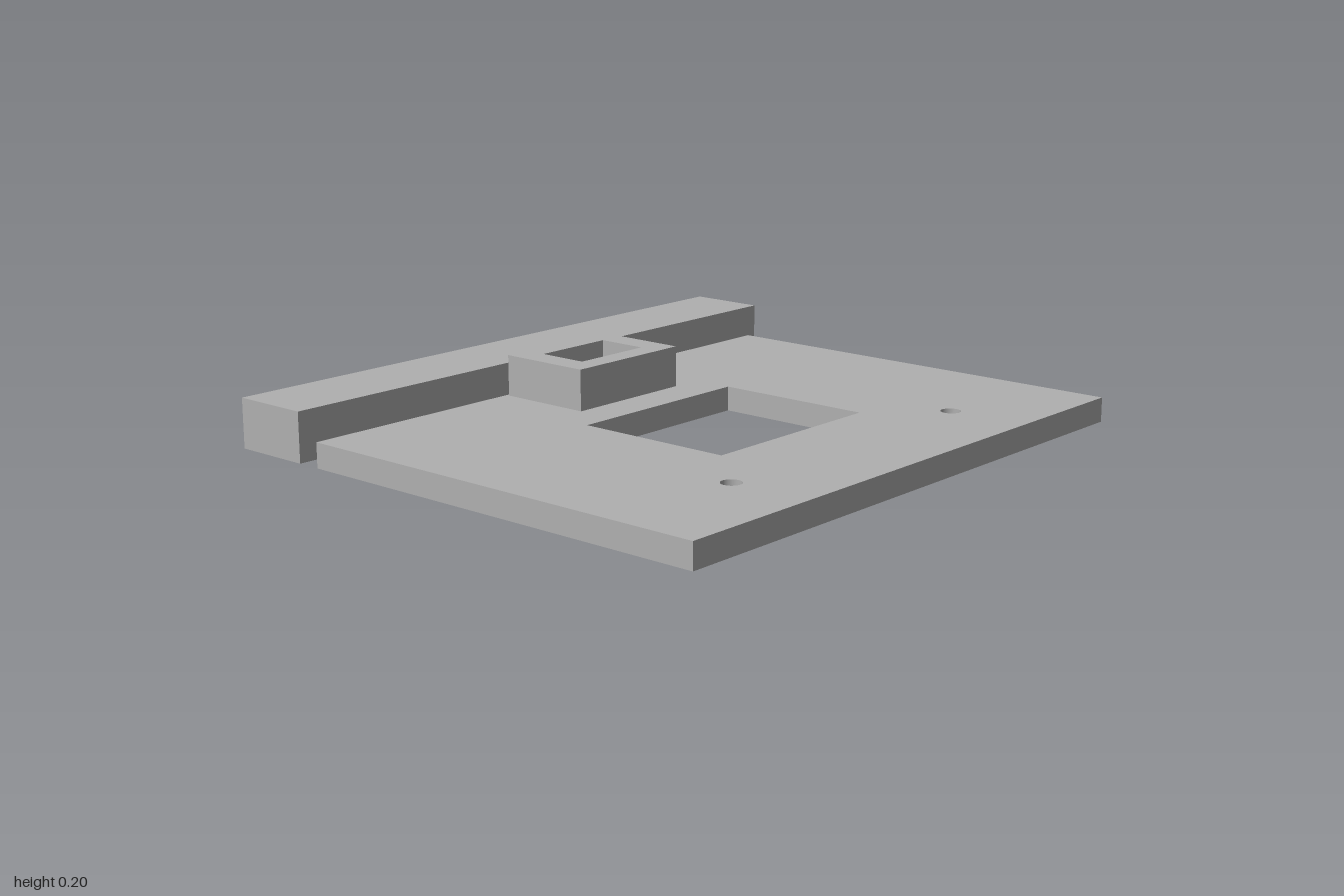
import * as THREE from 'three';

// Trace a rectangle given by x and z limits (shape y is -z)
function rect(path, [x0, x1, z0, z1]) {
  path.moveTo(x0, -z1);
  path.lineTo(x1, -z1);
  path.lineTo(x1, -z0);
  path.lineTo(x0, -z0);
  path.closePath();
  return path;
}

// Flat slab between heights y0 and y1, with openings cut through it
function slab(name, material, outline, y0, y1, openings = []) {
  const shape = rect(new THREE.Shape(), outline);
  shape.holes.push(...openings);
  const geometry = new THREE.ExtrudeGeometry(shape, {
    depth: y1 - y0, bevelEnabled: false, curveSegments: 32,
  });
  geometry.rotateX(-Math.PI / 2);
  geometry.translate(0, y0, 0);
  const mesh = new THREE.Mesh(geometry, material);
  mesh.name = name;
  return mesh;
}

const rectHole = (limits) => rect(new THREE.Path(), limits);
const roundHole = (x, z, r) => new THREE.Path().absarc(x, -z, r, 0, Math.PI * 2, true);

export function createModel() {
  const group = new THREE.Group();
  group.name = 'mountingPlateAndRail';
  const grey = new THREE.MeshStandardMaterial({ color: 0xb0b0b0 });
  grey.name = 'plainGrey';

  // Base plate with a square window and two screw holes
  group.add(slab('basePlate', grey, [-0.525, 0.85, -0.875, 1], 0, 0.075, [
    rectHole([-0.09, 0.41, -0.25, 0.375]),
    ...[-0.44, 0.56].map((z) => roundHole(0.6, z, 0.03)),
  ]));

  // Raised rectangular socket, open at the top
  group.add(slab('socket', grey, [-0.515, -0.215, -0.15, 0.27], 0.075, 0.2, [
    rectHole([-0.445, -0.285, -0.07, 0.19]),
  ]));

  // Separate rail with a long blind groove in its underside
  const rail = new THREE.Group();
  rail.name = 'rail';
  const railOutline = [-0.85, -0.6, -1, 1];
  rail.add(
    slab('railGroovedBody', grey, railOutline, 0, 0.1, [rectHole([-0.755, -0.7, -0.62, 0.94])]),
    slab('railCap', grey, railOutline, 0.1, 0.15),
  );
  group.add(rail);

  return group;
}
